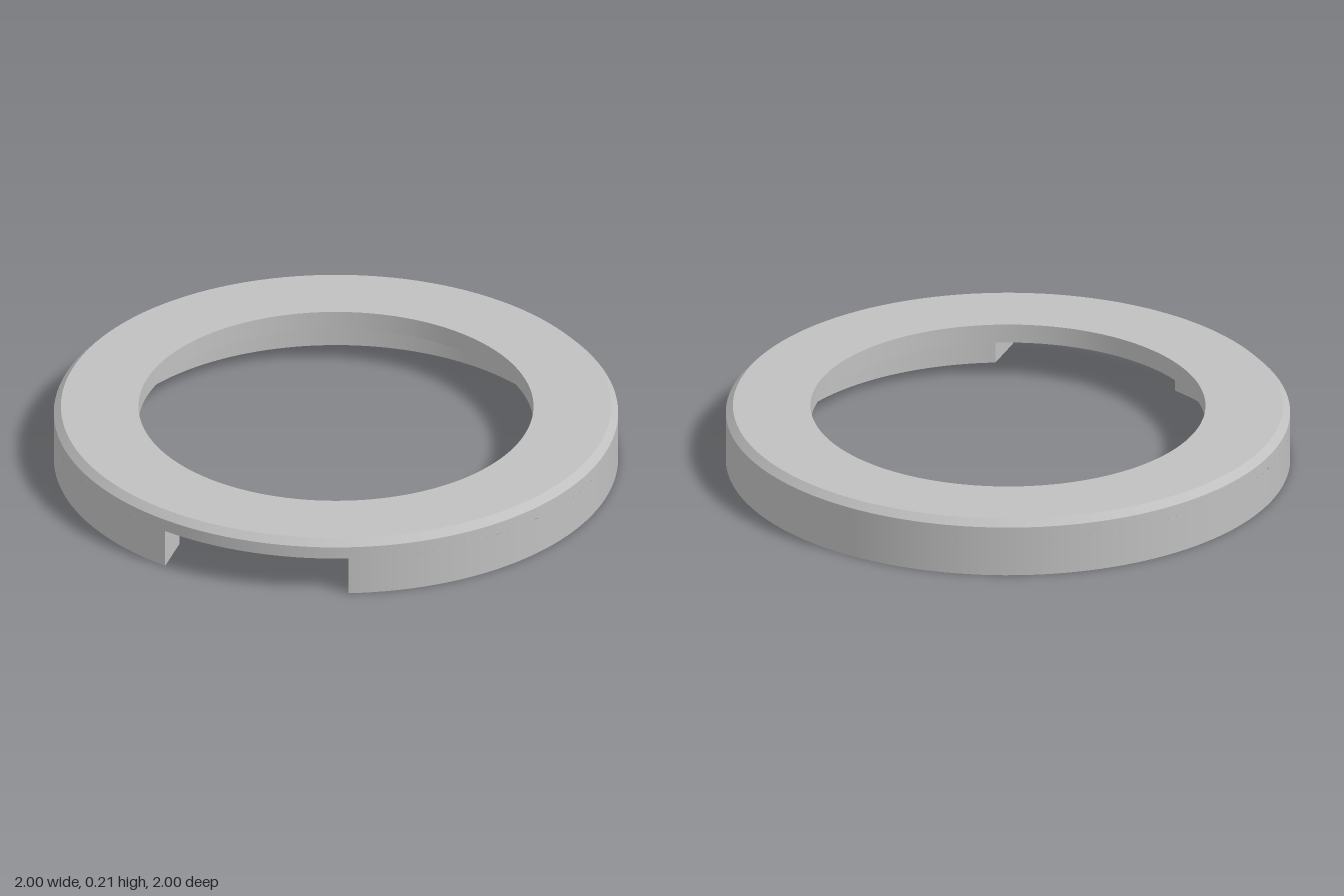
import * as THREE from 'three';

const OUTER = 1, BORE = 0.7, RECESS = 0.84;      // radii
const HEIGHT = 0.21, FLOOR = 0.14, CHAMFER = 0.025;
const GAP = 0.34;                                // half width of the front slot
const PIN = 0.032, PIN_DEPTH = 0.1, PIN_AT = 0.65;
const SEG = 128;

export function createModel() {
  const model = new THREE.Group();
  model.name = 'slottedRing';
  const grey = new THREE.MeshStandardMaterial({ color: 0xc0c0c0 });
  grey.name = 'grey';

  const add = (name, geometry) => {
    const mesh = new THREE.Mesh(geometry, grey);
    mesh.name = name;
    model.add(mesh);
    return mesh;
  };
  // One straight profile step turned about y, so edges between steps stay sharp
  const turn = (name, r0, y0, r1, y1, start = 0, seg = SEG) =>
    add(name, new THREE.LatheGeometry(
      [new THREE.Vector2(r0, y0), new THREE.Vector2(r1, y1)], seg, start, Math.PI * 2 - 2 * start));
  // Flat face looking down, drawn in x and z
  const downFace = (name, shape, y) =>
    add(name, new THREE.ShapeGeometry(shape, SEG).rotateX(Math.PI / 2).translate(0, y, 0));

  const gOut = Math.asin(GAP / OUTER), gIn = Math.asin(GAP / RECESS);
  const front = Math.PI / 2, full = Math.PI * 2;

  // Upper plate
  turn('plateRim', OUTER, FLOOR, OUTER, HEIGHT - CHAMFER);
  turn('plateChamfer', OUTER, HEIGHT - CHAMFER, OUTER - CHAMFER, HEIGHT);
  turn('plateTop', OUTER - CHAMFER, HEIGHT, BORE, HEIGHT);
  turn('plateBore', BORE, HEIGHT, BORE, FLOOR);

  // Plate underside: recess ceiling that runs out through the slot
  const ceiling = new THREE.Shape();
  ceiling.absarc(0, 0, OUTER, front - gOut, front + gOut, false);
  ceiling.absarc(0, 0, RECESS, front + gIn, front - gIn + full, false);
  ceiling.holes.push(new THREE.Path().absarc(0, 0, BORE, 0, full, true));
  downFace('recessCeiling', ceiling, FLOOR);

  // Lower skirt, open at the front
  turn('skirtOuterWall', OUTER, 0, OUTER, FLOOR, gOut);
  turn('skirtInnerWall', RECESS, FLOOR, RECESS, 0, gIn);
  const skirt = new THREE.Shape();
  skirt.absarc(0, 0, OUTER, front + gOut, front - gOut + full, false);
  skirt.absarc(0, 0, RECESS, front - gIn, front + gIn - full, true);

  // Pin holes on the diagonals
  for (const x of [-PIN_AT, PIN_AT]) for (const z of [-PIN_AT, PIN_AT]) {
    skirt.holes.push(new THREE.Path().absarc(x, z, PIN, 0, full, true));
    turn('pinHoleWall', PIN, PIN_DEPTH, PIN, 0, 0, SEG).position.set(x, 0, z);
    turn('pinHoleEnd', 0, PIN_DEPTH, PIN, PIN_DEPTH, 0, SEG).position.set(x, 0, z);
  }
  downFace('skirtBottom', skirt, 0);

  // Parallel side walls of the slot
  const zIn = RECESS * Math.cos(gIn), zOut = OUTER * Math.cos(gOut);
  for (const side of [-1, 1]) {
    add('slotWall', new THREE.PlaneGeometry(zOut - zIn, FLOOR)
      .rotateY(-side * Math.PI / 2)
      .translate(side * GAP, FLOOR / 2, (zIn + zOut) / 2));
  }
  return model;
}
